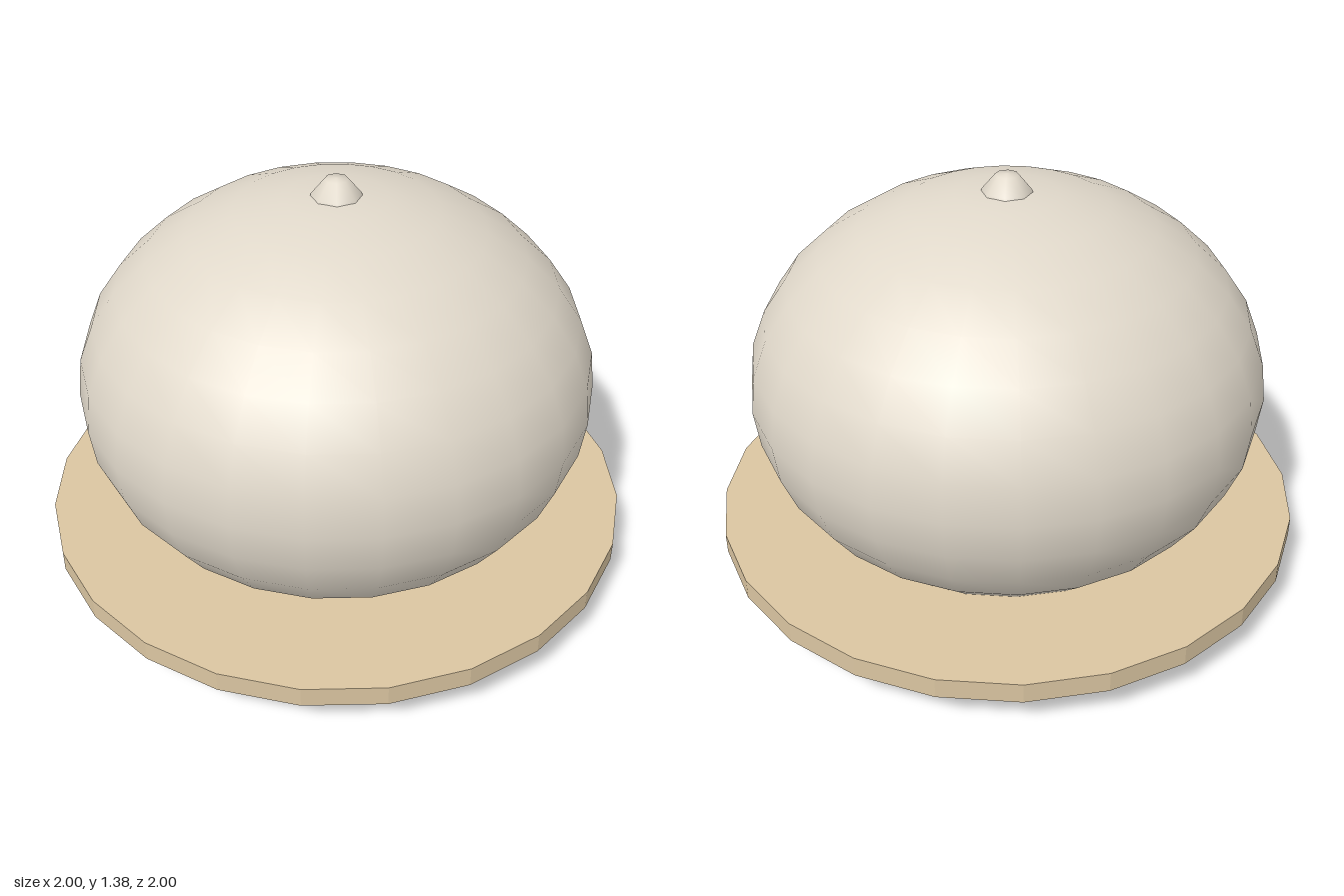
import * as THREE from 'three';

export function createModel() {
  const model = new THREE.Group();
  model.name = 'steamedBun';

  const dough = new THREE.MeshStandardMaterial({ color: 0xe0d8ca });
  dough.name = 'cream dough';
  const wood = new THREE.MeshStandardMaterial({ color: 0xdac5a1, flatShading: true });
  wood.name = 'tan base';

  const add = (name, geometry, material) => {
    const mesh = new THREE.Mesh(geometry, material);
    mesh.name = name;
    model.add(mesh);
    return mesh;
  };

  // Squashed round body, poking out below the base disc
  const body = new THREE.SphereGeometry(0.862, 24, 16);
  body.scale(1, 0.665 / 0.862, 1);
  body.translate(0, 0.668, 0);
  add('body', body, dough);

  // Faceted disc around the lower body
  const disc = add('baseDisc', new THREE.CylinderGeometry(1, 1, 0.07, 24), wood);
  disc.position.y = 0.17;

  // Small eight-sided knob on the crown
  const profile = [[0.087, 1.3], [0.08, 1.335], [0.038, 1.384], [0, 1.388]];
  const knob = new THREE.LatheGeometry(profile.map(([r, y]) => new THREE.Vector2(r, y)), 8);
  knob.rotateY(Math.PI / 8);
  add('topKnob', knob, dough);

  return model;
}
